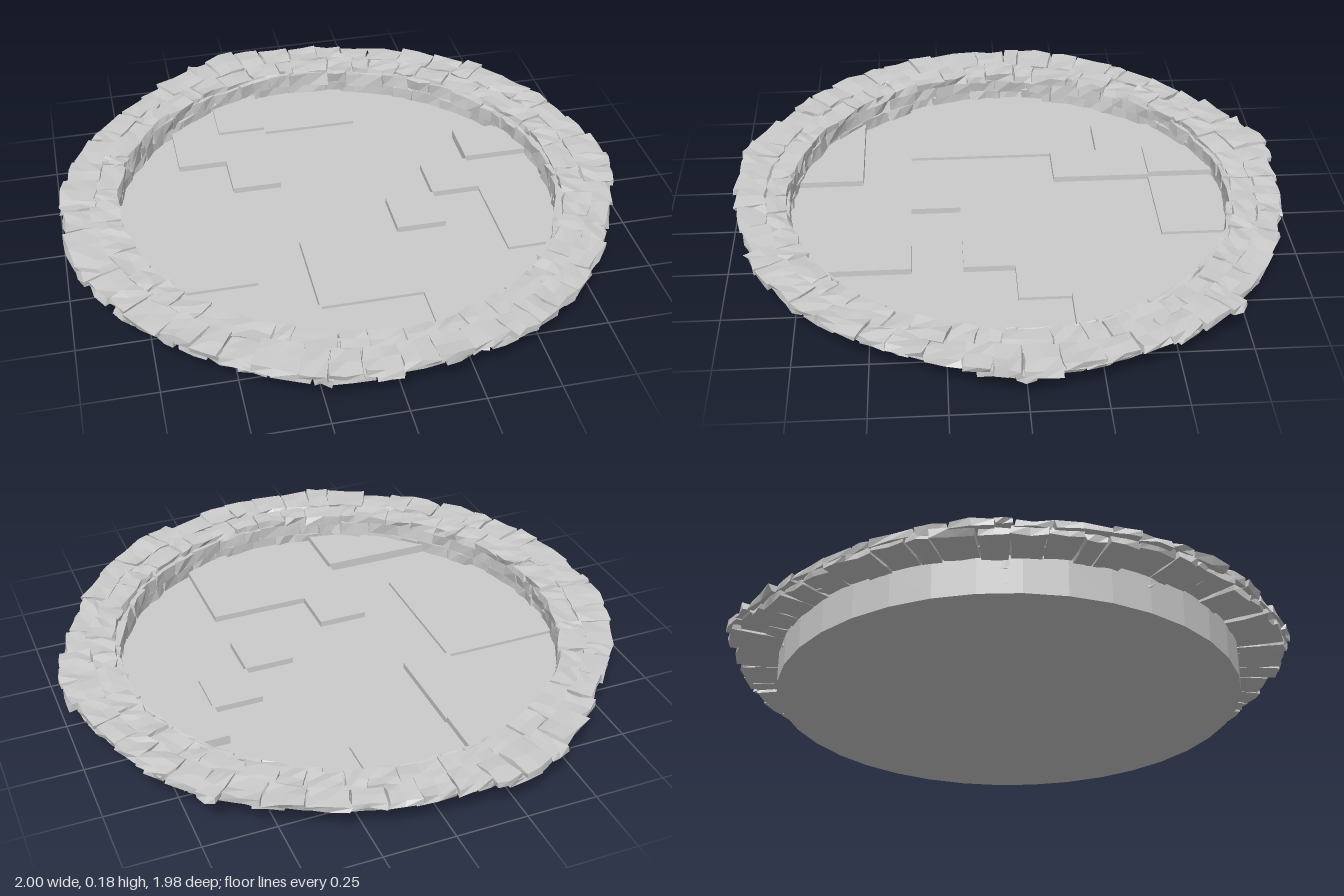
import * as THREE from 'three';
import { mergeGeometries } from 'three/addons/utils/BufferGeometryUtils.js';

const material = new THREE.MeshStandardMaterial({ color: 0xcccccc, flatShading: true });
const CX = -0.015, CZ = 0.005;

// Small seeded generator
let seed = 7;
function rnd(lo, hi) {
  seed = (seed * 16807) % 2147483647;
  return lo + (hi - lo) * (seed / 2147483647);
}

// Uneven outer radius of the rim, every 15 degrees starting at the front (+z)
const OUTLINE = [0.98, 0.97, 0.985, 0.97, 0.96, 0.965, 1.0, 0.98, 0.985, 1.0, 0.96, 0.96,
  0.965, 1.01, 0.98, 0.96, 0.98, 1.0, 1.0, 1.0, 1.0, 0.99, 1.0, 1.015];
function outline(a) {
  const t = (((a / (Math.PI * 2)) % 1 + 1) % 1) * 24, i = Math.floor(t);
  return THREE.MathUtils.lerp(OUTLINE[i % 24], OUTLINE[(i + 1) % 24], t - i);
}
// The rim rises gently towards the front left
const lift = (a) => 0.01 * Math.cos(a + Math.PI / 6);

// A rough stone: a box bent along the ring, with every corner nudged
function stone(a0, a1, r0, r1, y0, y1, rough) {
  const g = new THREE.BoxGeometry(1, 1, 1, 2, 1, 2);
  const p = g.attributes.position, nudges = new Map();
  for (let i = 0; i < p.count; i++) {
    const key = [p.getX(i), p.getY(i), p.getZ(i)].map((v) => Math.round(v * 2)).join();
    if (!nudges.has(key)) nudges.set(key, [rnd(-0.006, 0.006), rnd(-rough, rough), rnd(-0.01, 0.008)]);
    const [da, dy, dr] = nudges.get(key);
    const a = THREE.MathUtils.lerp(a0, a1, p.getX(i) + 0.5) + da;
    const y = THREE.MathUtils.lerp(y0, y1, p.getY(i) + 0.5) + dy;
    const r = THREE.MathUtils.lerp(r0, r1, p.getZ(i) + 0.5) + dr;
    p.setXYZ(i, THREE.MathUtils.clamp(r * Math.sin(a), -1, 1), y,
      THREE.MathUtils.clamp(r * Math.cos(a), -1, 1));
  }
  return g;
}

// A ring of stones with uneven lengths; place(a) gives [r0, r1, y0, y1]
function course(name, count, place, rough) {
  const step = (Math.PI * 2) / count, cuts = [], parts = [];
  for (let i = 0; i < count; i++) cuts.push((i + rnd(-0.28, 0.28)) * step);
  cuts.push(cuts[0] + Math.PI * 2);
  for (let i = 0; i < count; i++) {
    const [r0, r1, y0, y1] = place((cuts[i] + cuts[i + 1]) / 2);
    const dy = rnd(-0.006, 0.006), dr = rnd(-0.012, 0.006);
    parts.push(stone(cuts[i] + 0.002, cuts[i + 1] - 0.002, r0, r1 + dr, y0 + dy, y1 + dy, rough));
  }
  const mesh = new THREE.Mesh(mergeGeometries(parts), material);
  mesh.name = name;
  return mesh;
}

// Raised floor slabs: each digit is the height step of one grid cell
const SLABS = [
  '0023110000',
  '0023110000',
  '0022000000',
  '0002000033',
  '1110000211',
  '1110002011',
  '1110200011',
  '0000222000',
  '3333112000',
  '3333112000',
];
const LEVELS = [0.045, 0.056, 0.067, 0.078];
function floorSlabs() {
  const cell = 0.178, parts = [], limit = 0.805;
  SLABS.forEach((row, j) => [...row].forEach((digit, i) => {
    const x0 = -0.901 + i * cell, z0 = -0.886 + j * cell;
    const nx = Math.max(x0 - CX, CX - x0 - cell, 0), nz = Math.max(z0 - CZ, CZ - z0 - cell, 0);
    if (digit === '0' || Math.hypot(nx, nz) > limit - 0.01) return;
    const top = LEVELS[+digit], h = top - 0.03;
    const g = new THREE.BoxGeometry(cell, h, cell, 3, 1, 3);
    g.translate(x0 + cell / 2, top - h / 2, z0 + cell / 2);
    // Pull anything beyond the wall back onto the circle
    const p = g.attributes.position;
    for (let k = 0; k < p.count; k++) {
      const dx = p.getX(k) - CX, dz = p.getZ(k) - CZ;
      const s = Math.min(1, limit / Math.max(Math.hypot(dx, dz), 1e-6));
      p.setX(k, CX + dx * s);
      p.setZ(k, CZ + dz * s);
    }
    parts.push(g);
  }));
  const mesh = new THREE.Mesh(mergeGeometries(parts), material);
  mesh.name = 'floorSlabs';
  return mesh;
}

export function createModel() {
  const model = new THREE.Group();
  model.name = 'roundStoneBasin';

  // Shallow round tray: underside, outer wall, inner wall and floor
  const profile = [[0, 0], [0.825, 0], [0.825, 0.135], [0.8, 0.135], [0.8, 0.045], [0, 0.045]]
    .map(([r, y]) => new THREE.Vector2(r, y));
  const tray = new THREE.Mesh(new THREE.LatheGeometry(profile, 36), material);
  tray.position.set(CX, 0, CZ);
  tray.name = 'tray';
  model.add(tray, floorSlabs());

  // Stone courses lining the inside of the wall
  const lining = new THREE.Group();
  lining.name = 'innerWallStones';
  lining.add(course('lowerLining', 40, () => [0.79, 0.812, 0.035, 0.095], 0.003));
  lining.add(course('upperLining', 44, () => [0.785, 0.815, 0.09, 0.14], 0.003));
  lining.position.set(CX, 0, CZ);
  model.add(lining);

  // Overhanging rim: a lower bed with two rows of capstones above it
  const rim = new THREE.Group();
  rim.name = 'rim';
  rim.add(course('rimBedStones', 58, (a) => [0.815, outline(a) - 0.015, 0.122 + lift(a) * 0.4, 0.147 + lift(a)], 0.004));
  rim.add(course('outerCapstones', 52, (a) => [0.875, outline(a), 0.142 + lift(a), 0.165 + lift(a)], 0.005));
  rim.add(course('innerCapstones', 50, (a) => [0.795, 0.89, 0.132 + lift(a), 0.162 + lift(a)], 0.005));
  model.add(rim);

  return model;
}
